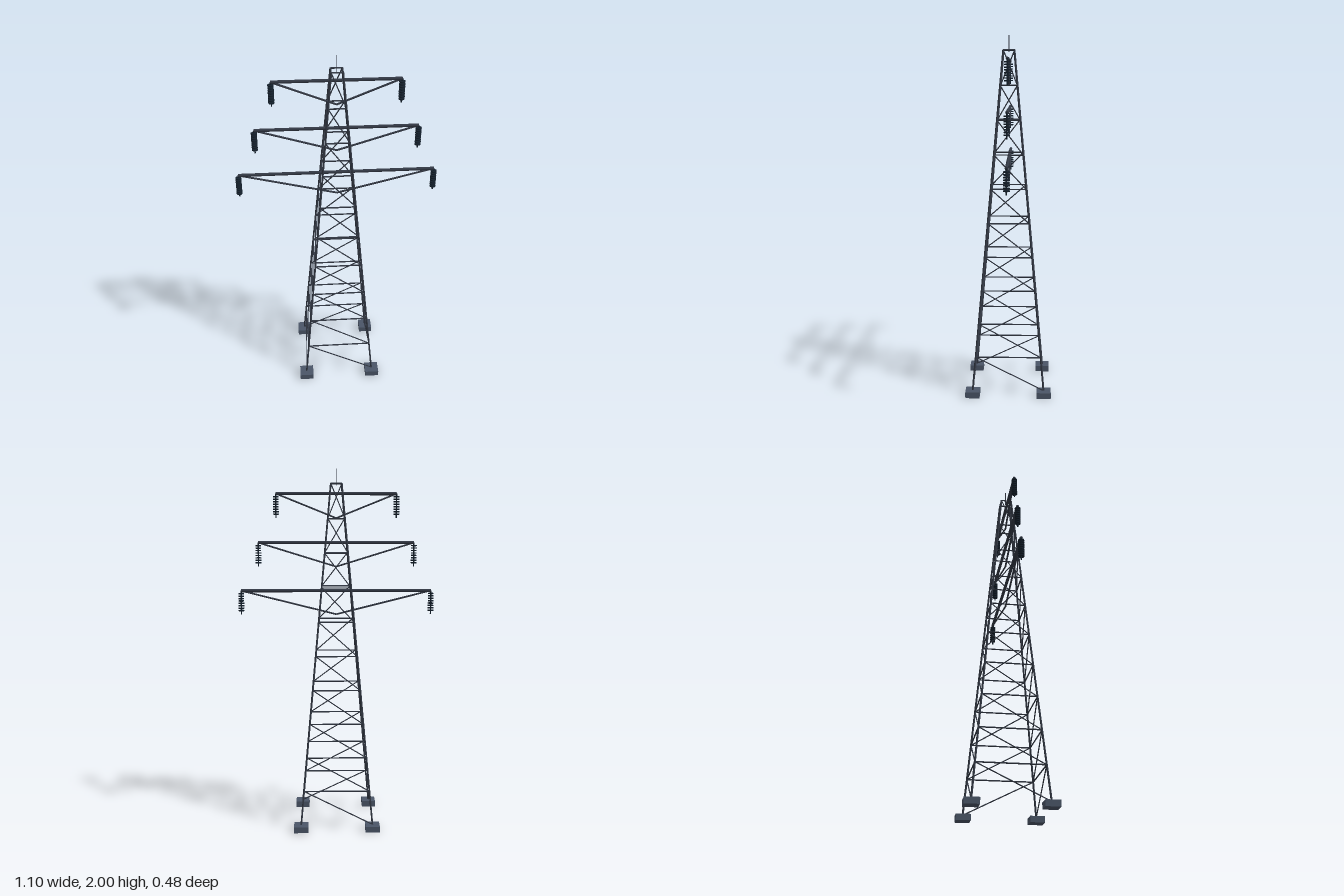
import * as THREE from 'three';

const UP = new THREE.Vector3(0, 1, 0);

export function createModel() {
  const tower = new THREE.Group();
  tower.name = 'pylon';

  const steel = new THREE.MeshStandardMaterial({ name: 'darkSteel', color: 0x343a46 });
  const concrete = new THREE.MeshStandardMaterial({ name: 'slateFooting', color: 0x4b5668 });
  const ceramic = new THREE.MeshStandardMaterial({ name: 'insulatorNavy', color: 0x14202c });

  const add = (parent, name, geometry, material, x = 0, y = 0, z = 0) => {
    const mesh = new THREE.Mesh(geometry, material);
    mesh.name = name;
    mesh.position.set(x, y, z);
    parent.add(mesh);
    return mesh;
  };

  // Round bar between two points
  const bar = (parent, name, a, b, radius, sides = 6) => {
    const dir = b.clone().sub(a);
    const mesh = add(parent, name, new THREE.CylinderGeometry(radius, radius, dir.length(), sides), steel);
    mesh.position.copy(a).lerp(b, 0.5);
    mesh.quaternion.setFromUnitVectors(UP, dir.normalize());
  };

  // Tapered lattice: corners run round the tower, levels run up it
  const LEVELS = 10, BASE = 0.033, TOP = 1.92;
  const signs = [[1, 1], [-1, 1], [-1, -1], [1, -1]];
  const node = (corner, level) => {
    const t = level / LEVELS;
    const half = THREE.MathUtils.lerp(0.2, 0.03, t);
    const [sx, sz] = signs[corner % 4];
    return new THREE.Vector3(sx * half, THREE.MathUtils.lerp(BASE, TOP, t), sz * half);
  };

  for (let c = 0; c < 4; c++) {
    const [sx, sz] = signs[c];
    add(tower, 'footing', new THREE.BoxGeometry(0.08, 0.034, 0.08), concrete, sx * 0.2, 0.017, sz * 0.2);

    const face = new THREE.Group();
    face.name = 'latticeSide';
    tower.add(face);
    bar(face, 'leg', node(c, 0), node(c, LEVELS), 0.0055);
    for (let i = 0; i < LEVELS; i++) {
      // One rising diagonal per panel, turning the same way round the tower
      bar(face, 'diagonalBrace', node(c, i), node(c + 1, i + 1), 0.0033);
      bar(face, 'horizontalBrace', node(c, i + 1), node(c + 1, i + 1), 0.004);
    }
  }

  // Lightning spike
  bar(tower, 'spike', new THREE.Vector3(0, TOP - 0.01, 0), new THREE.Vector3(0, 2, 0), 0.0027);

  // Hanging insulator string: rod, stacked discs and wire clamp
  const insulator = (parent, x, y) => {
    const string = new THREE.Group();
    string.name = 'insulator';
    string.position.set(x, y, 0);
    parent.add(string);
    add(string, 'rod', new THREE.CylinderGeometry(0.004, 0.004, 0.133, 6), ceramic, 0, -0.0665, 0);
    for (let i = 0; i < 8; i++) {
      add(string, 'disc', new THREE.CylinderGeometry(0.0165, 0.0165, 0.0065, 10), ceramic, 0, -0.017 - i * 0.0135, 0);
    }
  };

  // Three cross-arms, shortest on top
  for (const [y, half] of [[1.333, 0.533], [1.6, 0.433], [1.867, 0.333]]) {
    const arm = new THREE.Group();
    arm.name = 'crossArm';
    tower.add(arm);
    bar(arm, 'armBeam', new THREE.Vector3(-half, y, 0), new THREE.Vector3(half, y, 0), 0.009, 8);
    for (const s of [-1, 1]) {
      bar(arm, 'armStrut', new THREE.Vector3(s * half, y, 0), new THREE.Vector3(0, y - 0.133, 0), 0.0053);
      insulator(arm, s * half, y);
    }
  }

  return tower;
}
